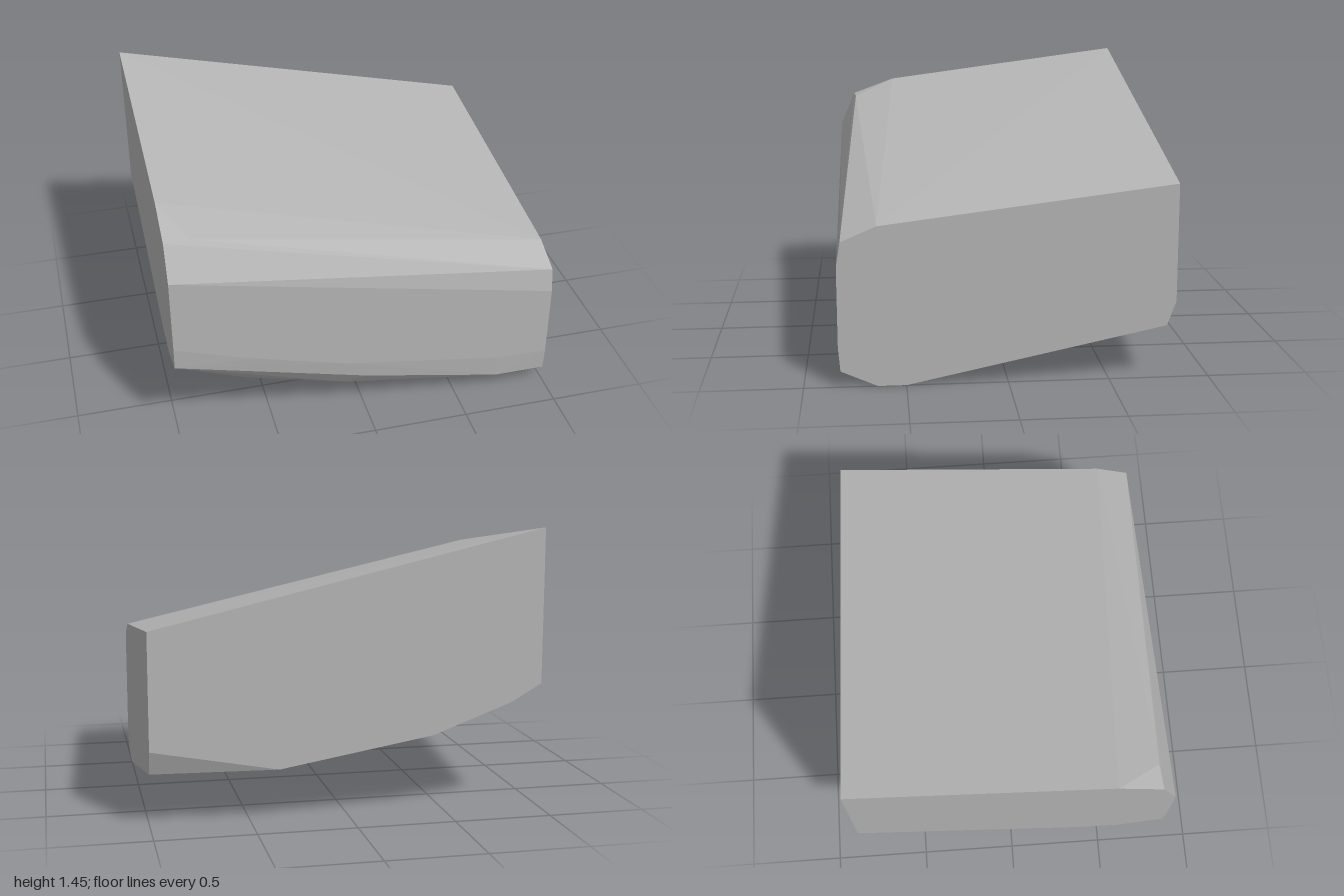
import * as THREE from 'three';
import { ConvexGeometry } from 'three/addons/geometries/ConvexGeometry.js';

export function createModel() {
  const model = new THREE.Group();
  model.name = 'facetedBlock';
  const grey = new THREE.MeshStandardMaterial({ color: 0xb4b4b4 });
  grey.name = 'stoneGrey';

  // Each end is an outline of [z, y] corners
  const leftEnd = [
    [-0.83, 0.98], [0.635, 0.8], [0.81, 0.725], [0.83, 0.6], [0.83, 0.2],
    [0.82, 0.08], [0.64, 0], [0.5, 0], [-0.785, 0.268], [-0.83, 0.39],
  ];
  const rightEnd = [
    [-0.83, 1.445], [0.515, 1.268], [0.75, 1.182], [0.83, 1], [0.83, 0.6],
    [0.82, 0.48], [0.59, 0.4], [0.37, 0.41], [-0.83, 0.65],
  ];

  // Corners of the worn underside between the ends, as [x, y, z]
  const underside = [
    [-0.6, 0.47, 0.83], [-0.1, 0.335, 0.83], [0.72, 0.21, 0.83], // front face, lower edge
    [0.0, 0.225, 0.82], [0.73, 0.08, 0.82], // top of the lower bevel
    [-0.62, 0.285, 0.75], [-0.1, 0.155, 0.76], [0.88, 0.012, 0.75], // foot of the bevel
    [-0.73, 0.28, 0.5], [-0.17, 0.155, 0.45], [0.5, 0.025, 0.4], [0.73, 0.003, 0.55], // belly
    [0.36, 0.27, -0.83], [-0.43, 0.405, -0.83], [-0.84, 0.557, -0.83], // back face, lower edge
  ];
  // Single worn corner on the upper front edge
  const upperEdge = [[-0.87, 1.18, 0.74]];

  const points = [
    ...leftEnd.map(([z, y]) => [1, y, z]),
    ...rightEnd.map(([z, y]) => [-1, y, z]),
    ...underside,
    ...upperEdge,
  ].map((p) => new THREE.Vector3(...p));

  const block = new THREE.Mesh(new ConvexGeometry(points), grey);
  block.name = 'block';
  model.add(block);
  return model;
}
